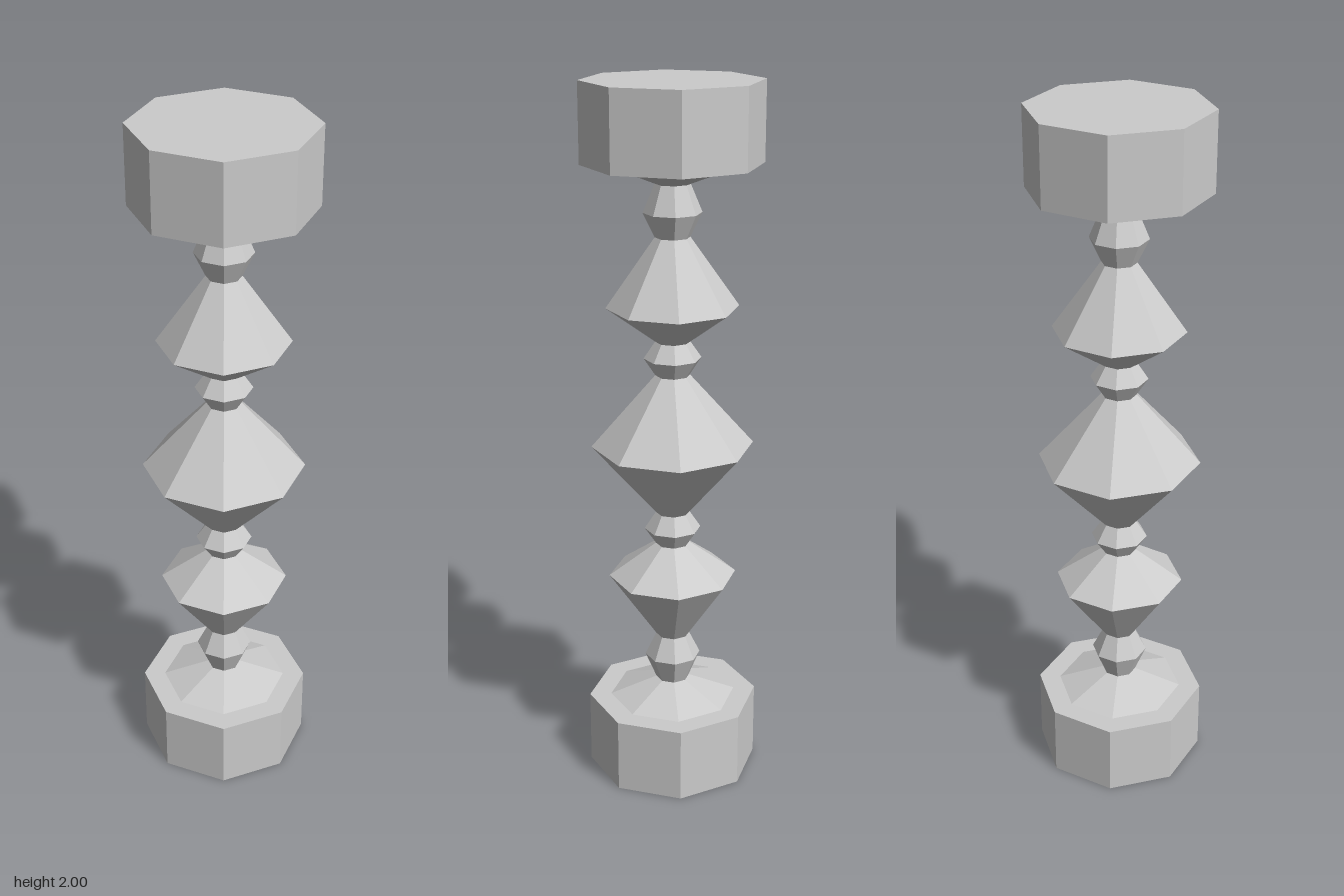
import * as THREE from 'three';

const SIDES = 8;
const NECK = 0.048;

export function createModel() {
  const group = new THREE.Group();
  group.name = 'balusterColumn';
  const material = new THREE.MeshStandardMaterial({ color: 0xcccccc, flatShading: true });

  // Turns a [radius, height] profile, listed bottom to top, into an eight-sided part
  const turn = (name, profile) => {
    const points = profile.map(([r, y]) => new THREE.Vector2(r, y));
    const mesh = new THREE.Mesh(new THREE.LatheGeometry(points, SIDES), material);
    mesh.name = name;
    group.add(mesh);
  };

  // Parts of the lower half; each also gets a mirrored twin in the upper half
  const halfParts = {
    // end block with its sloped shoulder
    Block: [[0, 0], [0.246, 0], [0.246, 0.216], [0.183, 0.216], [NECK, 0.268]],
    OuterBead: [[NECK, 0.268], [0.08, 0.345], [NECK, 0.411]],
    Bulb: [[NECK, 0.411], [0.183, 0.603], [NECK, 0.7]],
    InnerBead: [[NECK, 0.7], [0.08, 0.747], [NECK, 0.796]],
  };
  for (const [name, profile] of Object.entries(halfParts)) {
    turn('lower' + name, profile);
    turn('upper' + name, profile.map(([r, y]) => [r, 2 - y]).reverse());
  }

  // Large double cone in the middle
  turn('centreBulb', [[NECK, 0.796], [0.228, 1], [NECK, 1.204]]);

  return group;
}
